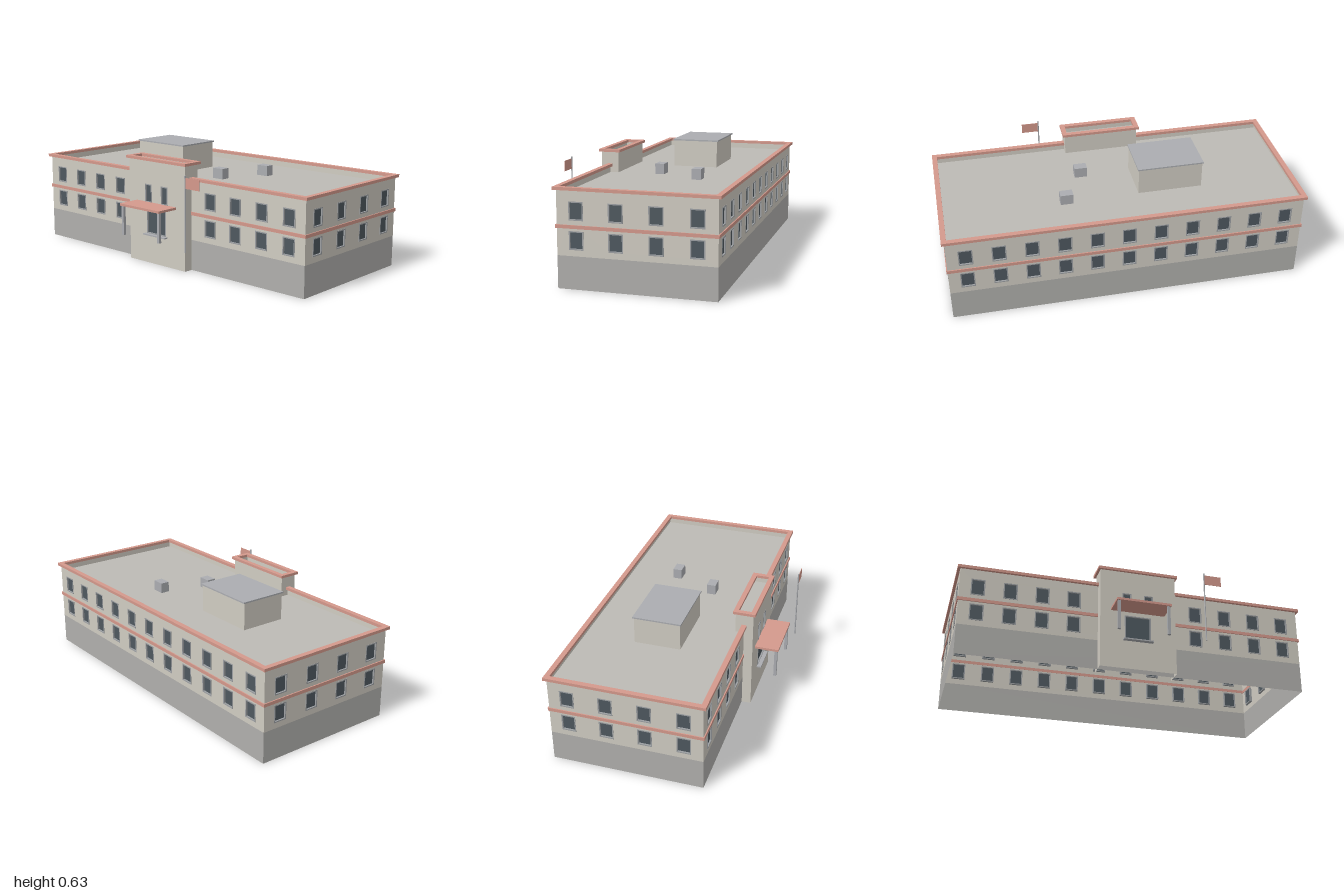
import * as THREE from 'three';

const mat = (color) => new THREE.MeshStandardMaterial({ color, side: THREE.DoubleSide });

export function createModel() {
  const model = new THREE.Group();
  model.name = 'building';
  const wallMat = mat(0xd0ccc2), baseMat = mat(0xb0afac), trimMat = mat(0xd4998c);
  const glassMat = mat(0x4e585f), frameMat = mat(0x9da0a3), roofMat = mat(0xbdbab5), metalMat = mat(0xabadb1);

  const add = (parent, name, geometry, material) => {
    const mesh = new THREE.Mesh(geometry, material);
    mesh.name = name;
    parent.add(mesh);
    return mesh;
  };
  // Box given by its minimum and maximum corners
  const box = (name, [x0, y0, z0], [x1, y1, z1], material) => {
    const m = add(model, name, new THREE.BoxGeometry(x1 - x0, y1 - y0, z1 - z0), material);
    m.position.set((x0 + x1) / 2, (y0 + y1) / 2, (z0 + z1) / 2);
    return m;
  };
  const rect = (Type, x0, y0, x1, y1) => new Type([
    new THREE.Vector2(x0, y0), new THREE.Vector2(x1, y0), new THREE.Vector2(x1, y1), new THREE.Vector2(x0, y1)]);
  // Rectangular frame extruded along z
  const ringGeometry = (o, i, depth) => {
    const shape = rect(THREE.Shape, ...o);
    shape.holes.push(rect(THREE.Path, ...i));
    return new THREE.ExtrudeGeometry(shape, { depth, bevelEnabled: false });
  };
  // Horizontal trim running round a plan rectangle [x0, z0, x1, z1]
  const trim = (name, [x0, z0, x1, z1], outset, inset, y0, y1) => {
    const flip = (r) => [r[0], -r[3], r[2], -r[1]];
    const m = add(model, name, ringGeometry(
      flip([x0 - outset, z0 - outset, x1 + outset, z1 + outset]),
      flip([x0 + inset, z0 + inset, x1 - inset, z1 - inset]), y1 - y0), trimMat);
    m.rotation.x = -Math.PI / 2;
    m.position.y = y0;
  };
  // Wall panel with openings [x, y, width, height], each with a frame and recessed glass
  const facade = (name, width, y0, y1, openings, x, z, turn) => {
    const group = new THREE.Group();
    group.name = name;
    group.position.set(x, 0, z);
    group.rotation.y = turn;
    model.add(group);
    const panel = rect(THREE.Shape, -width / 2, y0, width / 2, y1);
    for (const [cx, cy, w, h] of openings) {
      const o = [cx - w / 2, cy - h / 2, cx + w / 2, cy + h / 2], t = 0.006;
      panel.holes.push(rect(THREE.Path, ...o));
      const frame = add(group, 'windowFrame',
        ringGeometry(o, [o[0] + t, o[1] + t, o[2] - t, o[3] - t], 0.016), frameMat);
      frame.position.z = -0.014;
      const glass = add(group, 'windowGlass', new THREE.PlaneGeometry(w - t, h - t), glassMat);
      glass.position.set(cx, cy, -0.007);
    }
    add(group, 'wall', new THREE.ShapeGeometry(panel), wallMat);
    if (y0 > 0) {
      add(group, 'baseWall', new THREE.PlaneGeometry(width, y0), baseMat).position.y = y0 / 2;
    }
  };

  // Main block: four walls with two rows of windows
  const X = 0.985, Z0 = -0.502, Z1 = 0.328, ZC = (Z0 + Z1) / 2, baseTop = 0.172, wallTop = 0.515;
  const rows = (xs) => xs.flatMap((x) => [[x, 0.402, 0.077, 0.096], [x, 0.252, 0.077, 0.096]]);
  const longXs = Array.from({ length: 11 }, (_, i) => (i - 5) * 0.1767);
  const sideXs = Array.from({ length: 4 }, (_, i) => (i - 1.5) * 0.208);
  const towerless = longXs.filter((x) => Math.abs(x) > 0.25);
  facade('frontWall', 2 * X, baseTop, wallTop, rows(towerless), 0, Z1, 0);
  facade('backWall', 2 * X, baseTop, wallTop, rows(longXs), 0, Z0, Math.PI);
  facade('leftWall', Z1 - Z0, baseTop, wallTop, rows(sideXs), X, ZC, Math.PI / 2);
  facade('rightWall', Z1 - Z0, baseTop, wallTop, rows(sideXs), -X, ZC, -Math.PI / 2);

  const roof = add(model, 'roof', new THREE.PlaneGeometry(2 * X, Z1 - Z0), roofMat);
  roof.rotation.x = -Math.PI / 2;
  roof.position.set(0, 0.472, ZC);
  trim('parapetTrim', [-X, Z0, X, Z1], 0.015, 0.013, 0.506, 0.522);
  trim('floorBand', [-X, Z0, X, Z1], 0.006, 0.001, 0.313, 0.331);

  // Entrance tower
  const T0 = 0.28, T1 = 0.38, TX = 0.217, towerTop = 0.595;
  facade('towerFront', 2 * TX, 0, towerTop, [
    [-0.065, 0.402, 0.052, 0.106], [0.06, 0.402, 0.052, 0.106], [-0.003, 0.244, 0.15, 0.146],
  ], 0, T1, 0);
  for (const s of [-1, 1]) {
    facade('towerSide', T1 - T0, 0, towerTop, [], s * TX, (T0 + T1) / 2, s * Math.PI / 2);
  }
  facade('towerBack', 2 * TX, 0.472, towerTop, [], 0, T0, Math.PI);
  // The tower's rear face only rises above the main roof
  const rear = model.children[model.children.length - 1];
  rear.remove(rear.getObjectByName('baseWall'));
  const towerRoof = add(model, 'towerRoof', new THREE.PlaneGeometry(2 * TX, T1 - T0), roofMat);
  towerRoof.rotation.x = -Math.PI / 2;
  towerRoof.position.set(0, 0.555, (T0 + T1) / 2);
  trim('towerTrim', [-TX, T0, TX, T1], 0.013, 0.014, 0.589, 0.604);

  // Porch
  box('canopy', [-0.157, 0.34, T1], [0.151, 0.353, 0.515], trimMat);
  box('doorStep', [-0.088, 0.165, T1], [0.082, 0.172, 0.405], metalMat);
  for (const x of [-0.143, 0.137]) {
    box('canopyPost', [x - 0.008, 0.172, 0.492], [x + 0.008, 0.34, 0.508], metalMat);
  }

  // Flagpole and flag
  const pole = add(model, 'flagpole', new THREE.CylinderGeometry(0.004, 0.004, 0.414, 8), metalMat);
  pole.position.set(0.345, 0.365, 0.513);
  box('flag', [0.347, 0.503, 0.512], [0.445, 0.561, 0.514], trimMat);

  // Rooftop plant room and vents
  box('plantRoom', [-0.48, 0.472, -0.215], [-0.115, 0.624, 0.045], wallMat);
  box('plantRoomCap', [-0.486, 0.624, -0.222], [-0.11, 0.632, 0.051], metalMat);
  for (const [x, z] of [[0.295, -0.212], [0.172, 0.036]]) {
    box('roofVent', [x - 0.036, 0.472, z - 0.026], [x + 0.036, 0.531, z + 0.026], metalMat);
  }
  return model;
}
